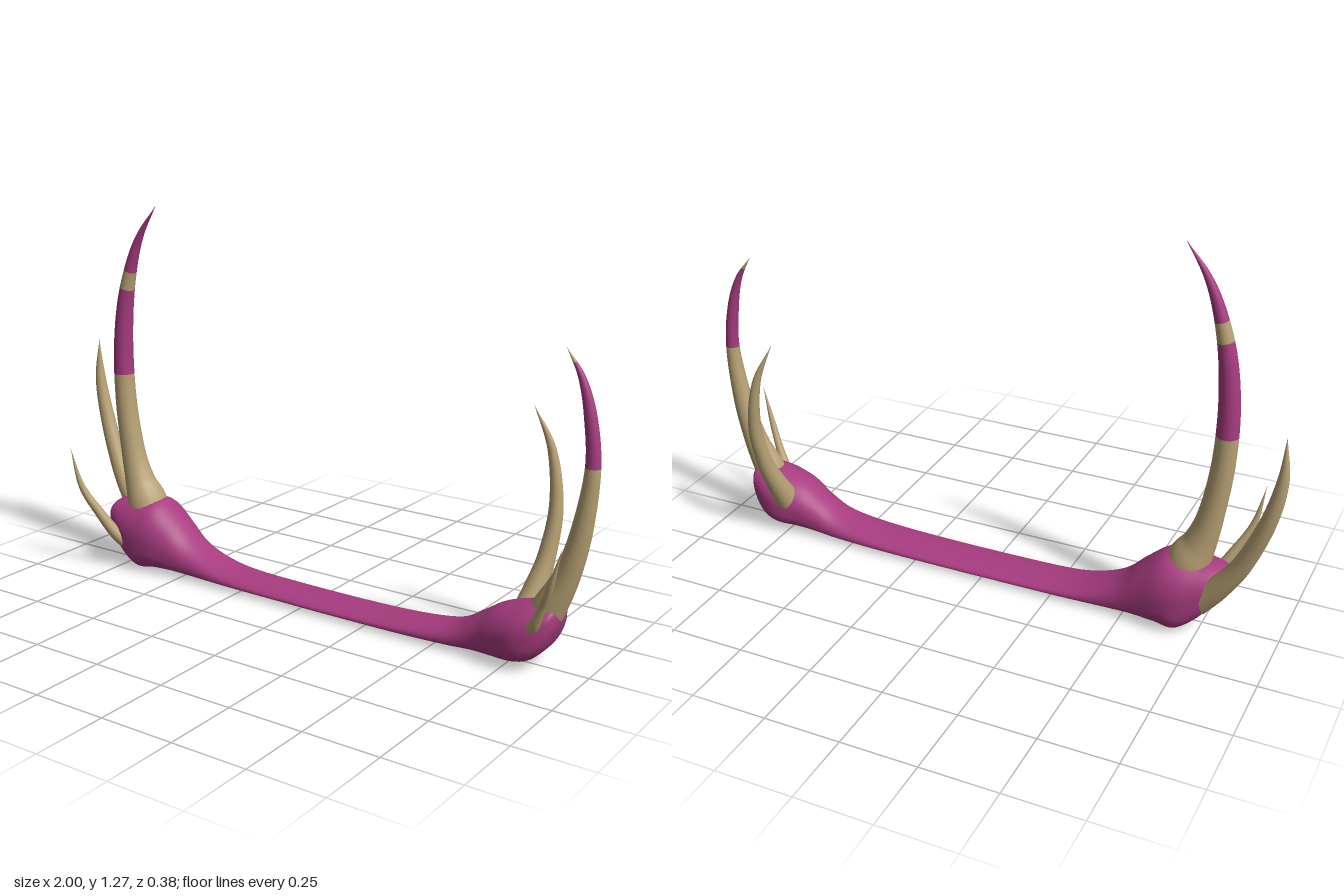
import * as THREE from 'three';

const magenta = new THREE.MeshStandardMaterial({ color: 0xa83c80 });
magenta.name = 'magenta';
const tan = new THREE.MeshStandardMaterial({ color: 0xb8a275 });
tan.name = 'tan';
const materials = [magenta, tan];

// Skins a list of closed rings; colourOf(ring index) picks the material of each row.
function skin(rings, colourOf) {
  const n = rings[0].length;
  const geo = new THREE.BufferGeometry();
  geo.setAttribute('position', new THREE.Float32BufferAttribute(rings.flat().flatMap((p) => [p.x, p.y, p.z]), 3));
  const index = [];
  for (let i = 0; i < rings.length - 1; i++) {
    geo.addGroup(index.length, n * 6, colourOf(i));
    for (let j = 0; j < n; j++) {
      const k = (j + 1) % n;
      const a = i * n + j, b = i * n + k, c = b + n, d = a + n;
      index.push(a, d, c, a, c, b);
    }
  }
  geo.setIndex(index);
  geo.computeVertexNormals();
  return geo;
}

const smooth = (points) => new THREE.CatmullRomCurve3(points, false, 'catmullrom', 0.5);

// Tapered curved horn through points [x, y, z, radius]; bands list heights where the colour swaps.
function horn(name, points, bands = []) {
  const path = smooth(points.map((p) => new THREE.Vector3(p[0], p[1], p[2])));
  const radius = smooth(points.map((p) => new THREE.Vector3(p[3], 0, 0)));
  const rows = 80, sides = 20, rings = [], heights = [];
  const zAxis = new THREE.Vector3(0, 0, 1);
  for (let i = 0; i <= rows; i++) {
    const c = path.getPoint(i / rows), t = path.getTangent(i / rows);
    const r = i === rows ? 0.0005 : Math.max(0.0005, radius.getPoint(i / rows).x);
    const u = t.clone().cross(zAxis).normalize();
    const v = u.clone().cross(t);
    heights.push(c.y);
    rings.push(Array.from({ length: sides }, (_, j) => {
      const a = (j / sides) * Math.PI * 2;
      return c.clone().addScaledVector(u, r * Math.cos(a)).addScaledVector(v, r * Math.sin(a));
    }));
  }
  const colourOf = (i) => (bands.filter((y) => heights[i] > y).length + 1) % 2;
  const mesh = new THREE.Mesh(skin(rings, colourOf), materials);
  mesh.name = name;
  return mesh;
}

// Flat-bottomed bar with a swollen bulb at each end.
function body() {
  // x, bottom, top, half depth, z centre, widest height as a fraction
  const stations = [
    [-0.825, 0.185, 0.195, 0.004, 0, 0.5], [-0.815, 0.15, 0.215, 0.06, 0, 0.5],
    [-0.79, 0.105, 0.23, 0.083, 0, 0.5], [-0.74, 0.045, 0.24, 0.104, 0, 0.48],
    [-0.68, 0.005, 0.25, 0.116, -0.004, 0.45], [-0.62, 0.012, 0.245, 0.113, -0.005, 0.42],
    [-0.55, 0.015, 0.19, 0.098, -0.005, 0.38], [-0.48, 0.015, 0.125, 0.086, -0.005, 0.34],
    [-0.39, 0.015, 0.082, 0.081, -0.005, 0.3], [-0.28, 0.015, 0.055, 0.08, -0.005, 0.3],
    [-0.1, 0.015, 0.046, 0.08, -0.005, 0.3], [0.15, 0.014, 0.045, 0.08, -0.005, 0.3],
    [0.38, 0.014, 0.054, 0.08, -0.005, 0.3], [0.55, 0.016, 0.08, 0.08, -0.005, 0.32],
    [0.64, 0.018, 0.13, 0.082, -0.004, 0.38], [0.71, 0.019, 0.175, 0.094, 0, 0.45],
    [0.78, 0.021, 0.198, 0.106, 0, 0.48], [0.83, 0.035, 0.21, 0.1, 0, 0.5],
    [0.87, 0.075, 0.212, 0.082, 0, 0.5], [0.895, 0.13, 0.208, 0.058, 0, 0.5],
    [0.908, 0.18, 0.19, 0.004, 0, 0.5],
  ];
  const column = (f) => smooth(stations.map(f));
  const spine = column((s) => new THREE.Vector3(s[0], s[1], s[2]));
  const shape = column((s) => new THREE.Vector3(s[3], s[4], s[5]));
  const rows = 120, sides = 40, rings = [];
  for (let i = 0; i <= rows; i++) {
    const p = spine.getPoint(i / rows), q = shape.getPoint(i / rows);
    const waist = p.y + (p.z - p.y) * q.z;
    rings.push(Array.from({ length: sides }, (_, j) => {
      const a = (j / sides) * Math.PI * 2, c = Math.cos(a), s = Math.sin(a);
      const e = s < 0 ? 0.58 : 0.95;
      const z = q.y + q.x * Math.sign(c) * Math.abs(c) ** e;
      const y = s < 0 ? waist - (waist - p.y) * (-s) ** e : waist + (p.z - waist) * s ** e;
      return new THREE.Vector3(p.x, y, z);
    }));
  }
  const mesh = new THREE.Mesh(skin(rings, () => 0), materials);
  mesh.name = 'body';
  return mesh;
}

export function createModel() {
  const group = new THREE.Group();
  group.name = 'hornedBar';
  group.add(
    body(),
    // Large horns with painted upper bands
    horn('rightMainHorn', [
      [-0.665, 0.13, 0, 0.075], [-0.695, 0.23, 0, 0.07], [-0.725, 0.3, 0, 0.053], [-0.752, 0.4, 0, 0.042],
      [-0.777, 0.57, 0, 0.037], [-0.783, 0.75, 0, 0.034], [-0.768, 0.92, 0, 0.029],
      [-0.735, 1.06, 0, 0.021], [-0.69, 1.17, 0, 0.012], [-0.62, 1.27, 0, 0],
    ], [0.66, 0.98, 1.035]),
    horn('leftMainHorn', [
      [0.82, 0.1, 0, 0.05], [0.86, 0.19, 0, 0.052], [0.912, 0.3, 0, 0.04], [0.953, 0.45, 0, 0.032],
      [0.977, 0.64, 0, 0.023], [0.962, 0.79, 0, 0.019], [0.93, 0.9, 0, 0.011], [0.88, 0.98, 0, 0],
    ], [0.64, 0.935]),
    // Rear horns
    horn('rightRearHorn', [
      [-0.74, 0.11, -0.05, 0.045], [-0.81, 0.19, -0.062, 0.038], [-0.882, 0.3, -0.073, 0.031],
      [-0.95, 0.47, -0.088, 0.026], [-0.982, 0.62, -0.092, 0.018], [-0.982, 0.76, -0.092, 0],
    ]),
    horn('leftRearHorn', [
      [0.755, 0.12, -0.06, 0.045], [0.768, 0.2, -0.1, 0.036], [0.784, 0.3, -0.138, 0.028],
      [0.793, 0.45, -0.168, 0.022], [0.768, 0.62, -0.175, 0.014], [0.712, 0.755, -0.157, 0],
    ]),
    // Small front horns
    horn('rightFrontHorn', [
      [-0.71, 0.08, 0.07, 0.024], [-0.75, 0.12, 0.1, 0.022], [-0.798, 0.2, 0.133, 0.017],
      [-0.848, 0.3, 0.167, 0.011], [-0.875, 0.435, 0.186, 0],
    ]),
    horn('leftFrontHorn', [
      [0.83, 0.13, 0.065, 0.02], [0.855, 0.165, 0.085, 0.018], [0.885, 0.23, 0.1, 0.013],
      [0.918, 0.31, 0.118, 0.01], [0.955, 0.435, 0.131, 0],
    ]),
  );
  return group;
}
